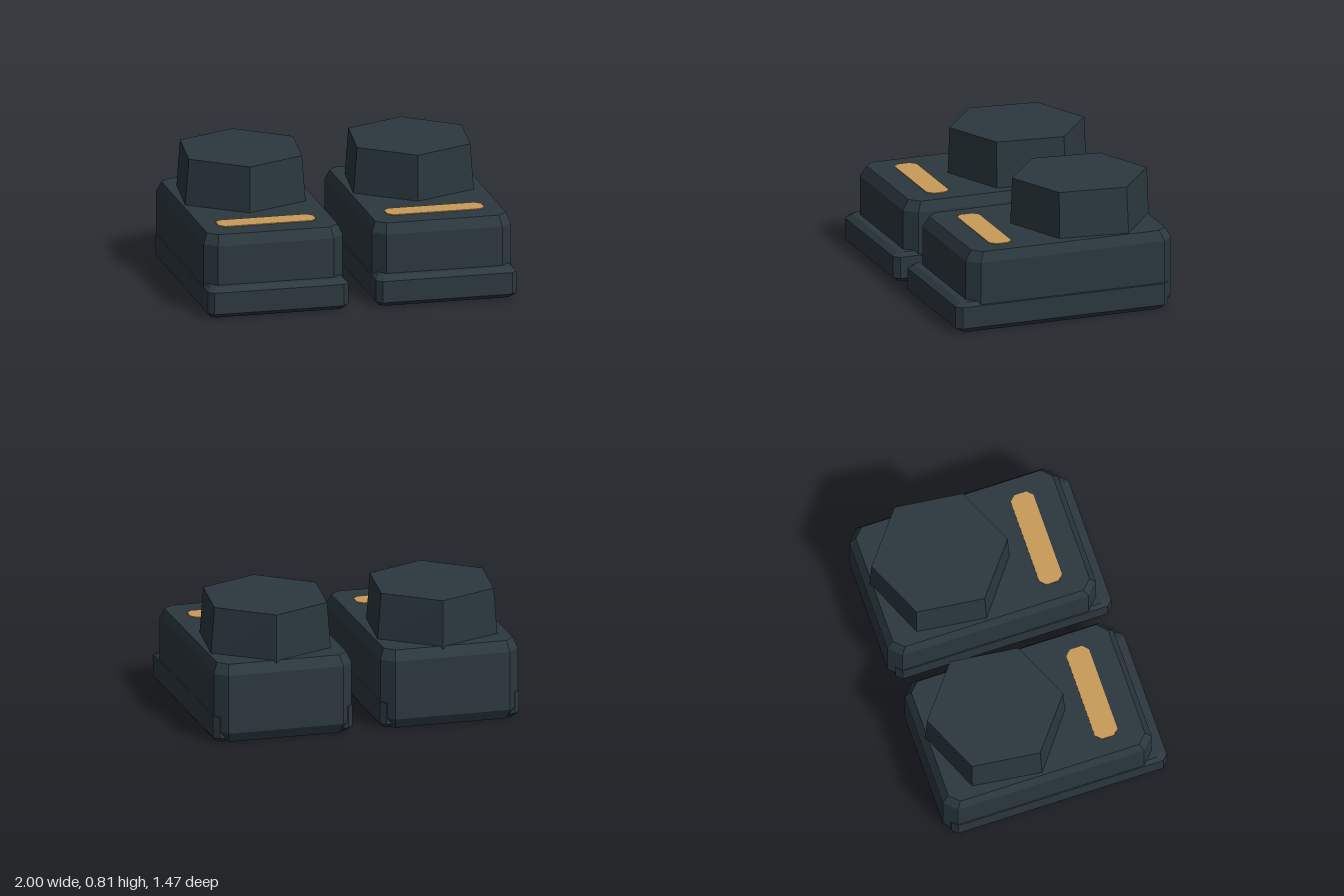
import * as THREE from 'three';

// Rectangle with cut corners, counter-clockwise seen from above, as [x, z]
function cutRect(hx, z0, z1, c) {
  return [
    [-hx + c, z1], [hx - c, z1], [hx, z1 - c], [hx, z0 + c],
    [hx - c, z0], [-hx + c, z0], [-hx, z0 + c], [-hx, z1 - c],
  ];
}

// Hexagon turned slightly, with separate x and z radii
function hexagon(rx, rz, cz) {
  return Array.from({ length: 6 }, (_, i) => {
    const a = THREE.MathUtils.degToRad(-7.1 + i * 60);
    return [rx * Math.sin(a), cz + rz * Math.cos(a)];
  });
}

// Flat-faced solid through rings listed from bottom to top: { y, ring }
function loft(levels) {
  const pos = [];
  const tri = (...pts) => pts.forEach((p) => pos.push(...p));
  const rings = levels.map(({ y, ring }) => ring.map(([x, z]) => [x, y, z]));
  const n = rings[0].length;
  for (let k = 0; k < rings.length - 1; k++) {
    for (let i = 0; i < n; i++) {
      const j = (i + 1) % n;
      const a = rings[k][i], b = rings[k][j], c = rings[k + 1][j], d = rings[k + 1][i];
      tri(a, b, c);
      tri(a, c, d);
    }
  }
  const low = rings[0], high = rings[rings.length - 1];
  for (let i = 1; i < n - 1; i++) {
    tri(high[0], high[i], high[i + 1]);
    tri(low[0], low[i + 1], low[i]);
  }
  const geo = new THREE.BufferGeometry();
  geo.setAttribute('position', new THREE.Float32BufferAttribute(pos, 3));
  geo.computeVertexNormals();
  return geo;
}

export function createModel() {
  const leather = new THREE.MeshStandardMaterial({ color: 0x2b383e, flatShading: true });
  leather.name = 'darkLeather';
  const tan = new THREE.MeshStandardMaterial({ color: 0xc99c59, flatShading: true });
  tan.name = 'tanStrap';

  const parts = [
    // Foot block, bevelled all round
    ['foot', leather, loft([
      { y: 0.004, ring: cutRect(0.42, -0.695, 0.61, 0.06) },
      { y: 0.07, ring: cutRect(0.45, -0.735, 0.65, 0.075) },
      { y: 0.45, ring: cutRect(0.45, -0.735, 0.65, 0.075) },
      { y: 0.515, ring: cutRect(0.423, -0.695, 0.61, 0.06) },
    ])],
    // Sole, sticking out at the toe
    ['sole', leather, loft([
      { y: 0, ring: cutRect(0.43, -0.66, 0.695, 0.03) },
      { y: 0.03, ring: cutRect(0.455, -0.695, 0.735, 0.035) },
      { y: 0.17, ring: cutRect(0.455, -0.695, 0.735, 0.035) },
      { y: 0.196, ring: cutRect(0.43, -0.66, 0.695, 0.03) },
    ])],
    // Six-sided ankle cuff
    ['cuff', leather, loft([
      { y: 0.5, ring: hexagon(0.441, 0.449, -0.262) },
      { y: 0.812, ring: hexagon(0.413, 0.438, -0.262) },
    ])],
    // Thin strap plate across the instep
    ['strap', tan, loft([
      { y: 0.513, ring: cutRect(0.315, 0.305, 0.455, 0.035) },
      { y: 0.52, ring: cutRect(0.315, 0.305, 0.455, 0.035) },
    ])],
  ];

  const model = new THREE.Group();
  model.name = 'boots';
  for (const [name, side] of [['rightBoot', -1], ['leftBoot', 1]]) {
    const boot = new THREE.Group();
    boot.name = name;
    boot.position.x = side * 0.545;
    for (const [partName, material, geometry] of parts) {
      const mesh = new THREE.Mesh(geometry, material);
      mesh.name = partName;
      boot.add(mesh);
    }
    model.add(boot);
  }
  return model;
}
